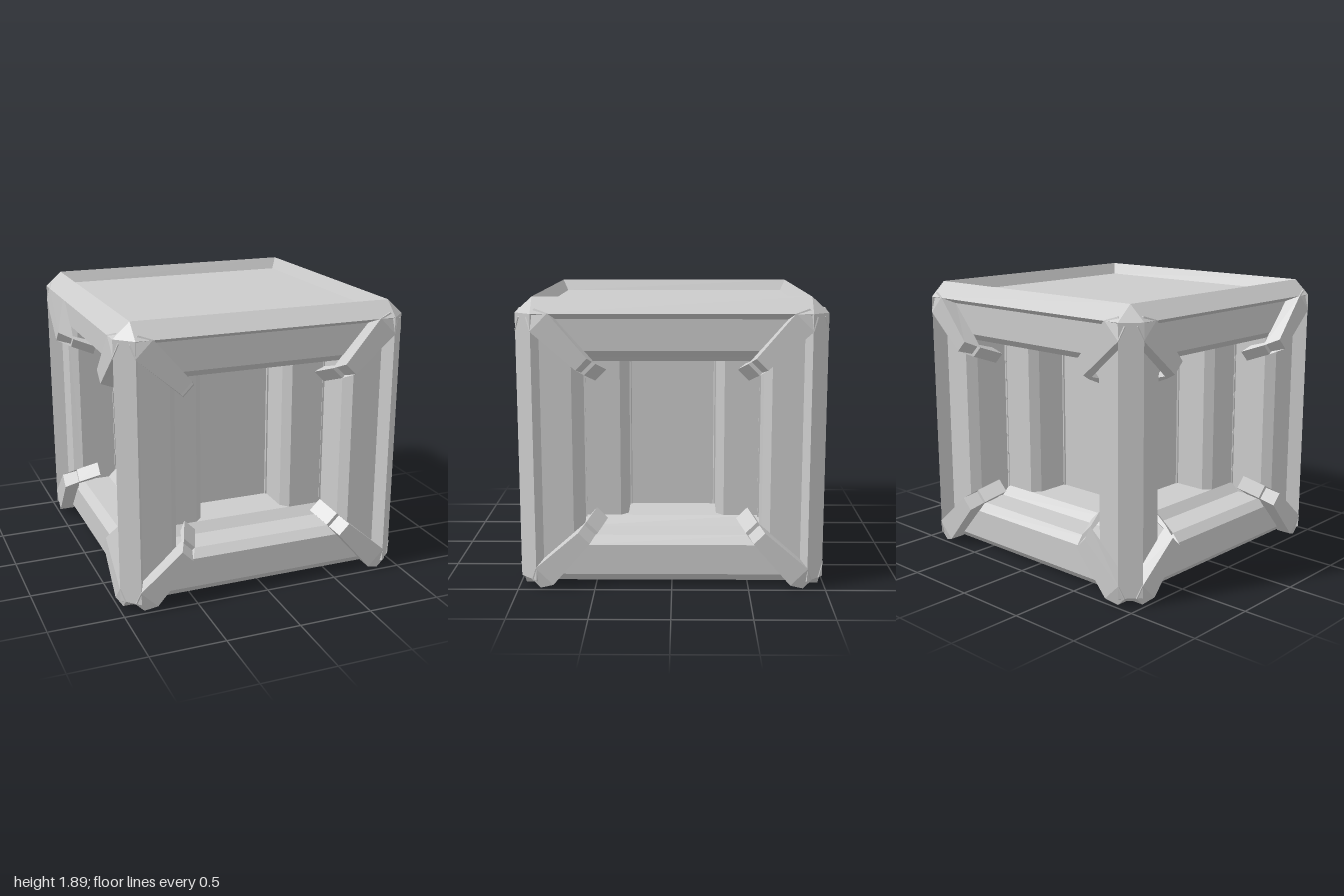
import * as THREE from 'three';

const MID = 0.9; // height of the crate's centre
const mat = new THREE.MeshStandardMaterial({ color: 0xcccccc, flatShading: true, side: THREE.DoubleSide });

// Skin a list of rings (each an array of [x, y, z]) with flat quads; optionally cap the ends
function loft(rings, capStart = false, capEnd = false) {
  const pos = [];
  const tri = (a, b, c) => pos.push(...a, ...b, ...c);
  for (let i = 0; i < rings.length - 1; i++) {
    const r = rings[i], s = rings[i + 1], n = r.length;
    for (let j = 0; j < n; j++) {
      const k = (j + 1) % n;
      tri(r[j], r[k], s[k]);
      tri(r[j], s[k], s[j]);
    }
  }
  const fan = (r) => { for (let j = 1; j < r.length - 1; j++) tri(r[0], r[j], r[j + 1]); };
  if (capStart) fan([...rings[0]].reverse());
  if (capEnd) fan(rings[rings.length - 1]);
  const g = new THREE.BufferGeometry();
  g.setAttribute('position', new THREE.Float32BufferAttribute(pos, 3));
  g.computeVertexNormals();
  return g;
}

function part(name, geometry, parent) {
  const m = new THREE.Mesh(geometry, mat);
  m.name = name;
  parent.add(m);
  return m;
}

// Horizontal square ring, half-width h, with corners cut back by c
const flatRing = (h, y, c = 0) => [
  [h, y, h - c], [h, y, -h + c], [h - c, y, -h], [-h + c, y, -h],
  [-h, y, -h + c], [-h, y, h - c], [-h + c, y, h], [h - c, y, h],
];

// Upright square ring on the front side
const faceRing = (h, z) => [[h, MID - h, z], [h, MID + h, z], [-h, MID + h, z], [-h, MID - h, z]];

export function createModel() {
  const crate = new THREE.Group();
  crate.name = 'crate';

  // Bottom plate with its chamfered edge
  part('bottomPlate', loft([flatRing(0.84, 0), flatRing(0.9, 0.06, 0.06)], true), crate);

  // Lid: raised chamfered rim around a sunken panel
  part('lid', loft([
    flatRing(0.9, 1.74, 0.06), flatRing(0.99, 1.78, 0.11), flatRing(0.88, 1.88), flatRing(0.84, 1.8),
  ], false, true), crate);

  // Stepped floor and ceiling of the inner chamber
  part('chamberFloor', loft([flatRing(0.64, 0.31), flatRing(0.58, 0.37)], true, true), crate);
  part('chamberCeiling', loft([flatRing(0.58, 1.43), flatRing(0.64, 1.49)], true, true), crate);

  // Central core block
  const core = part('core', new THREE.BoxGeometry(0.58, 1.14, 0.58), crate);
  core.position.y = MID;

  // Cross-sections in plan of a corner post and an inner pillar
  const postPlan = [[0.84, 0.84], [0.84, 0.9], [0.88, 0.99], [0.99, 0.88], [0.9, 0.84]];
  const postFoot = [[0.82, 0.82], [0.82, 0.86], [0.86, 0.92], [0.92, 0.86], [0.86, 0.82]];
  const pillarPlan = [
    [0.28, 0.28], [0.3, 0.29], [0.3, 0.525], [0.35, 0.58], [0.585, 0.58],
    [0.585, 0.585], [0.58, 0.585], [0.58, 0.35], [0.525, 0.3], [0.29, 0.3],
  ];
  const atY = (plan, y) => plan.map(([x, z]) => [x, y, z]);
  const postGeo = loft([atY(postFoot, 0), atY(postPlan, 0.045), atY(postPlan, 1.78)], true, true);
  const pillarGeo = loft([atY(pillarPlan, 0.33), atY(pillarPlan, 1.47)], true, true);

  // Window frame of one side, running back into the chamber
  const frameGeo = loft([
    faceRing(0.84, 0.9), faceRing(0.64, 0.9), faceRing(0.59, 0.84), faceRing(0.59, 0.58),
  ]);

  // Bent corner brace: [distance along diagonal, outer depth, inner depth, half width]
  const r = Math.SQRT1_2;
  const braceGeo = loft([
    [1.25, 0.965, 0.88, 0.04, 1.25],
    [1.17, 0.992, 0.88, 0.08, 1.17],
    [0.8, 0.998, 0.9, 0.052, 0.735],
    [0.72, 0.8, 0.75, 0.052, 0.655],
  ].map(([u, zo, zi, w, ui]) => [[u, -w, zo], [u, w, zo], [ui, w, zi], [ui, -w, zi]]
    .map(([d, p, z]) => [(d - p) * r, (d + p) * r, z])), true, true);

  for (let i = 0; i < 4; i++) {
    const side = new THREE.Group();
    side.name = ['front', 'left', 'back', 'right'][i] + 'Side';
    side.rotation.y = i * Math.PI / 2;
    part('windowFrame', frameGeo, side);
    part('cornerPost', postGeo, side);
    part('innerPillar', pillarGeo, side);
    for (let k = 0; k < 4; k++) {
      const brace = part('cornerBrace', braceGeo, side);
      brace.position.y = MID;
      brace.rotation.z = k * Math.PI / 2;
    }
    crate.add(side);
  }
  return crate;
}
